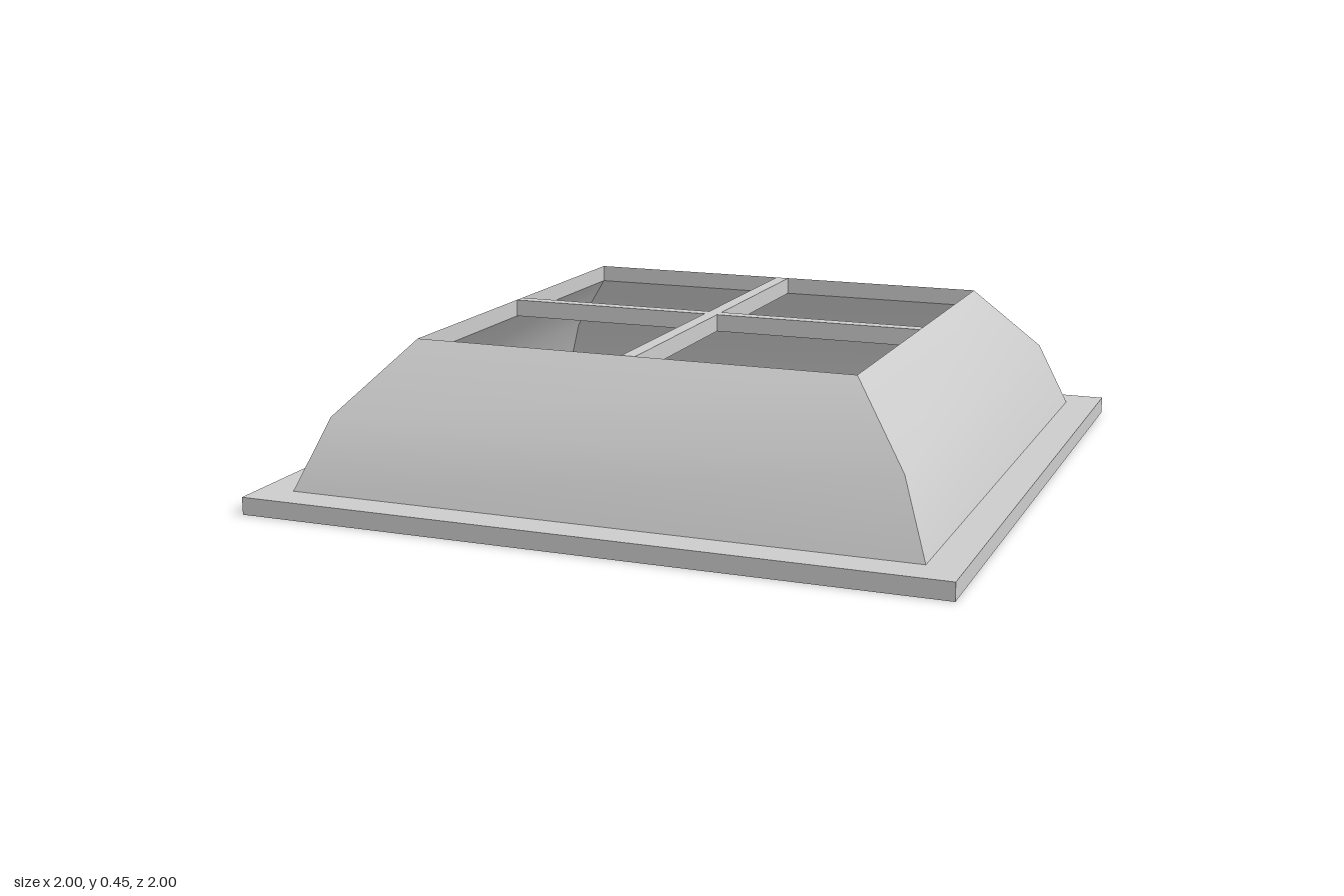
import * as THREE from 'three';
import { mergeGeometries } from 'three/addons/utils/BufferGeometryUtils.js';

const material = new THREE.MeshStandardMaterial({ color: 0xcccccc });

// Four mitred panels following a profile of [half width, height] points.
// A profile running upward faces outward, one running downward faces inward.
function squareBand(profile) {
  const positions = [], index = [];
  profile.forEach(([r, y], i) => {
    positions.push(-r, y, r, r, y, r);
    if (i === 0) return;
    const a = 2 * i - 2;
    index.push(a, a + 1, a + 3, a, a + 3, a + 2);
  });
  const panel = new THREE.BufferGeometry();
  panel.setAttribute('position', new THREE.Float32BufferAttribute(positions, 3));
  panel.setIndex(index);
  panel.computeVertexNormals();
  return mergeGeometries([0, 1, 2, 3].map(k => panel.clone().rotateY(k * Math.PI / 2)));
}

export function createModel() {
  const model = new THREE.Group();
  model.name = 'skylightFrame';
  const add = (name, geometry) => {
    const mesh = new THREE.Mesh(geometry, material);
    mesh.name = name;
    model.add(mesh);
  };

  const thickness = 0.05, top = 0.45, opening = 0.64;
  const slope = [[0.9, 0.05], [0.82, 0.25], [opening, top]];

  // Flat flange around the foot
  add('flange', mergeGeometries([
    squareBand([[0.9, 0], [1, 0]]),
    squareBand([[1, 0], [1, thickness]]),
    squareBand([[1, thickness], [0.9, thickness]]),
  ]));

  // Sloping sides: outside, and the same profile one thickness lower inside
  add('outerSlope', squareBand(slope));
  add('innerSlope', squareBand(slope.map(([r, y]) => [r, y - thickness]).reverse()));

  // Upright edge of the opening
  add('openingEdge', squareBand([[opening, top], [opening, top - thickness]]));

  // Crossed glazing bars as one piece, flush with the top
  const w = 0.02, l = opening;
  const cross = new THREE.Shape([
    [w, w], [w, l], [-w, l], [-w, w], [-l, w], [-l, -w],
    [-w, -w], [-w, -l], [w, -l], [w, -w], [l, -w], [l, w],
  ].map(([x, y]) => new THREE.Vector2(x, y)));
  const bars = new THREE.ExtrudeGeometry(cross, { depth: thickness, bevelEnabled: false });
  add('glazingBars', bars.rotateX(-Math.PI / 2).translate(0, top - thickness, 0));

  return model;
}
